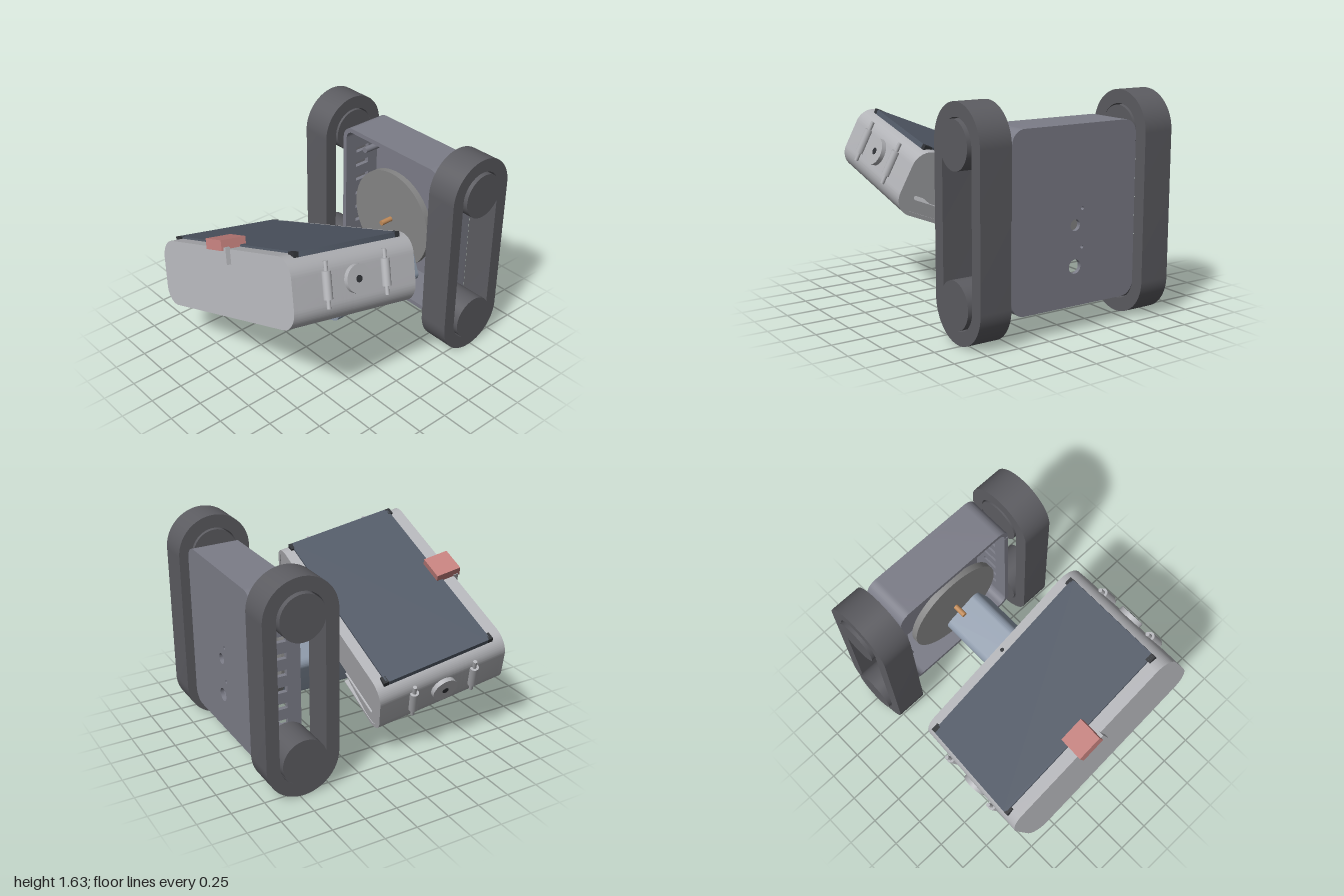
import * as THREE from 'three';
import { toCreasedNormals } from 'three/addons/utils/BufferGeometryUtils.js';

const PI = Math.PI;
const mat = (color) => new THREE.MeshStandardMaterial({ color, side: THREE.DoubleSide });

function add(parent, name, geometry, material, x = 0, y = 0, z = 0) {
  const mesh = new THREE.Mesh(geometry, material);
  mesh.name = name;
  mesh.position.set(x, y, z);
  parent.add(mesh);
  return mesh;
}

const box = (w, h, d) => new THREE.BoxGeometry(w, h, d);
// Cylinder lying along x or z
const rodX = (r, len, n = 40) => new THREE.CylinderGeometry(r, r, len, n).rotateZ(PI / 2);
const rodZ = (r, len, n = 40) => new THREE.CylinderGeometry(r, r, len, n).rotateX(PI / 2);

// Shape pulled along z between z0 and z1
function extrude(shape, z0, z1) {
  const g = new THREE.ExtrudeGeometry(shape, { depth: z1 - z0, bevelEnabled: false, curveSegments: 16 });
  return toCreasedNormals(g.translate(0, 0, z0), 0.5);
}

// Rounded rectangle from half sizes
function roundRect(w, h, r, Type = THREE.Shape) {
  const s = new Type();
  s.absarc(w - r, h - r, r, 0, PI / 2);
  s.absarc(-w + r, h - r, r, PI / 2, PI);
  s.absarc(-w + r, -h + r, r, PI, 1.5 * PI);
  s.absarc(w - r, -h + r, r, 1.5 * PI, 2 * PI);
  s.closePath();
  return s;
}

// Rounded wall section with a gap of half width g in its floor
function gapRing(w, h, r, t, g) {
  const s = new THREE.Shape(), a = w - r, b = h - r, q = r - t;
  s.moveTo(-g, -h);
  s.absarc(-a, -b, r, 1.5 * PI, PI, true);
  s.absarc(-a, b, r, PI, PI / 2, true);
  s.absarc(a, b, r, PI / 2, 0, true);
  s.absarc(a, -b, r, 0, -PI / 2, true);
  s.lineTo(g, -h);
  s.lineTo(g, -h + t);
  s.absarc(a, -b, q, -PI / 2, 0);
  s.absarc(a, b, q, 0, PI / 2);
  s.absarc(-a, b, q, PI / 2, PI);
  s.absarc(-a, -b, q, PI, 1.5 * PI);
  s.lineTo(-g, -h + t);
  s.closePath();
  return s;
}

// Upper half of a rounded wall section, legs ending at y0
function archRing(w, h, r, t, y0) {
  const s = new THREE.Shape(), a = w - r, b = h - r;
  s.moveTo(w, y0);
  s.absarc(a, b, r, 0, PI / 2);
  s.absarc(-a, b, r, PI / 2, PI);
  s.lineTo(-w, y0);
  s.lineTo(-w + t, y0);
  s.absarc(-a, b, r - t, PI, PI / 2, true);
  s.absarc(a, b, r - t, PI / 2, 0, true);
  s.lineTo(w - t, y0);
  s.closePath();
  return s;
}

export function createModel() {
  const model = new THREE.Group();
  model.name = 'trackedRobot';
  const rubber = mat(0x5c5c61), bodyMat = mat(0x7c7d88), discMat = mat(0x858585);
  const armMat = mat(0x8d99a9), caseMat = mat(0xb2b3b7), screenMat = mat(0x515966);
  const dark = mat(0x303236), green = mat(0x2f5a3e), orange = mat(0xc08a58), pink = mat(0xc27f7c);

  // Tracks: a stadium loop around two wheels on each side
  for (const side of [-1, 1]) {
    const track = new THREE.Group();
    track.name = side > 0 ? 'leftTrack' : 'rightTrack';
    track.position.set(side * 0.68, 0.815, -0.72);
    const loop = roundRect(0.28, 0.815, 0.28);
    loop.holes.push(roundRect(0.18, 0.715, 0.18, THREE.Path));
    add(track, 'trackBelt', extrude(loop, -0.12, 0.12).rotateY(PI / 2), rubber);
    for (const y of [-0.535, 0.535])
      add(track, 'trackWheel', rodX(0.17, 0.275, 48), rubber, side * 0.0075, y, 0);
    model.add(track);
  }

  // Body: open-fronted box with slotted sides and a drilled back
  const body = new THREE.Group();
  body.name = 'body';
  body.position.set(0, 0.82, 0);
  model.add(body);
  const back = roundRect(0.52, 0.63, 0.1);
  for (const [x, y, r] of [[-0.06, 0.05, 0.012], [0, -0.06, 0.04], [-0.06, -0.22, 0.012], [0, -0.35, 0.05]])
    back.holes.push(new THREE.Path().absarc(x, y, r, 0, 2 * PI));
  add(body, 'backPlate', extrude(back, -0.945, -0.915), bodyMat);
  const arch = extrude(archRing(0.52, 0.63, 0.1, 0.035, 0.5), -0.915, -0.585);
  add(body, 'topWall', arch, bodyMat);
  add(body, 'bottomWall', arch, bodyMat).rotation.z = PI;
  const wall = new THREE.Shape([[0.585, -0.5], [0.915, -0.5], [0.915, 0.5], [0.585, 0.5]]
    .map(([x, y]) => new THREE.Vector2(x, y)));
  for (let i = -3; i <= 3; i++) {
    const y = i * 0.128;
    wall.holes.push(new THREE.Path([[0.69, y - 0.022], [0.69, y + 0.022], [0.82, y + 0.022], [0.82, y - 0.022]]
      .map(([x, v]) => new THREE.Vector2(x, v))));
  }
  const wallGeo = extrude(wall, -0.0175, 0.0175).rotateY(PI / 2);
  for (const side of [-1, 1]) {
    add(body, 'slottedSide', wallGeo, bodyMat, side * 0.5025, 0, 0);
    for (const y of [-0.45, 0.4]) add(body, 'cornerBolt', rodZ(0.025, 0.2, 20), bodyMat, side * 0.42, y, -0.82);
  }
  add(body, 'port', box(0.1, 0.01, 0.05), dark, 0, -0.628, -0.8);
  add(body, 'turntable', rodZ(0.4, 0.05, 64), discMat, 0, 0, -0.645);
  add(body, 'driveShaft', rodZ(0.02, 0.36, 20), orange, 0, 0, -0.7);

  // Rolled head assembly: arm plus pitched screen housing
  const head = new THREE.Group();
  head.name = 'head';
  head.position.set(0, 0.814, 0);
  head.rotation.z = 0.38;
  model.add(head);

  // Arm with two pointed hinge ears
  add(head, 'arm', extrude(roundRect(0.18, 0.18, 0.06), -0.62, 0.21), armMat, 0, -0.31, 0);
  add(head, 'armPivot', rodZ(0.05, 0.01, 32), mat(0x78828f), 0, -0.31, 0.212);
  const ear = new THREE.Shape([[0.08, -0.38], [0.21, -0.45], [0.37, -0.25], [0.28, -0.17], [0.08, -0.17]]
    .map(([z, y]) => new THREE.Vector2(-z, y)));
  const earGeo = extrude(ear, -0.03, 0.03).rotateY(PI / 2);
  for (const side of [-1, 1]) add(head, 'hingeEar', earGeo, armMat, side * 0.17, 0, 0);

  const housing = new THREE.Group();
  housing.name = 'screenHousing';
  housing.position.z = 0.44;
  housing.rotation.x = -0.205;
  head.add(housing);

  // Shell in slices: rear notch, ventilation slots, solid front
  const W = 0.83, H = 0.245, R = 0.14, T = 0.03;
  const slices = [[-0.52, 0.03, 0.295]];
  let z = 0.03;
  for (const vent of [0.085, 0.15, 0.215, 0.28]) {
    slices.push([z, vent, 0.001], [vent, vent + 0.03, 0.2]);
    z = vent + 0.03;
  }
  slices.push([z, 0.49, 0.001]);
  for (const [z0, z1, gap] of slices)
    add(housing, 'shell', extrude(gapRing(W, H, R, T, gap), z0, z1), caseMat);
  add(housing, 'frontPanel', extrude(roundRect(W, H, R), 0.49, 0.52), caseMat);

  // Rear panel, open below for the arm
  const rear = gapRing(W - 0.01, H - 0.01, R - 0.01, 0.11, 0.295);
  add(housing, 'rearPanel', extrude(rear, -0.515, -0.49), caseMat);
  add(housing, 'rearInfill', box(1.42, 0.25, 0.025), caseMat, 0, 0.03, -0.5);
  add(housing, 'circuitBoard', box(1.1, 0.02, 0.75), green, 0, -0.1, -0.02);

  // Display on the top face with corner clips
  add(housing, 'screen', extrude(roundRect(0.765, 0.43, 0.03), 0, 0.06).rotateX(-PI / 2), screenMat, 0, 0.2, -0.01);
  for (const sx of [-1, 1]) for (const sz of [-1, 1])
    add(housing, 'screenClip', box(0.06, 0.05, 0.04), dark, sx * 0.735, 0.235, sz * 0.43 - 0.01);
  add(housing, 'cameraDot', new THREE.CylinderGeometry(0.015, 0.015, 0.006, 20), dark, 0.03, 0.246, -0.48);

  // Front tab with coloured block
  add(housing, 'tab', box(0.23, 0.12, 0.04), caseMat, 0.01, 0.2, 0.535);
  add(housing, 'tabBlock', box(0.2, 0.075, 0.2), pink, 0, 0.275, 0.47);

  // Side knobs and pins, mirrored
  for (const side of [-1, 1]) {
    const fittings = new THREE.Group();
    fittings.name = side > 0 ? 'leftFittings' : 'rightFittings';
    add(fittings, 'knob', rodX(0.1, 0.05), caseMat, side * 0.84, 0.02, 0);
    add(fittings, 'knobHole', rodX(0.025, 0.01, 24), dark, side * 0.863, 0.02, 0);
    for (const pz of [-0.25, 0.25]) {
      add(fittings, 'pinSleeve', new THREE.CylinderGeometry(0.033, 0.033, 0.19, 20), caseMat, side * 0.84, 0.02, pz);
      add(fittings, 'pin', new THREE.CylinderGeometry(0.015, 0.015, 0.32, 16), caseMat, side * 0.84, 0.02, pz);
    }
    housing.add(fittings);
  }
  return model;
}
